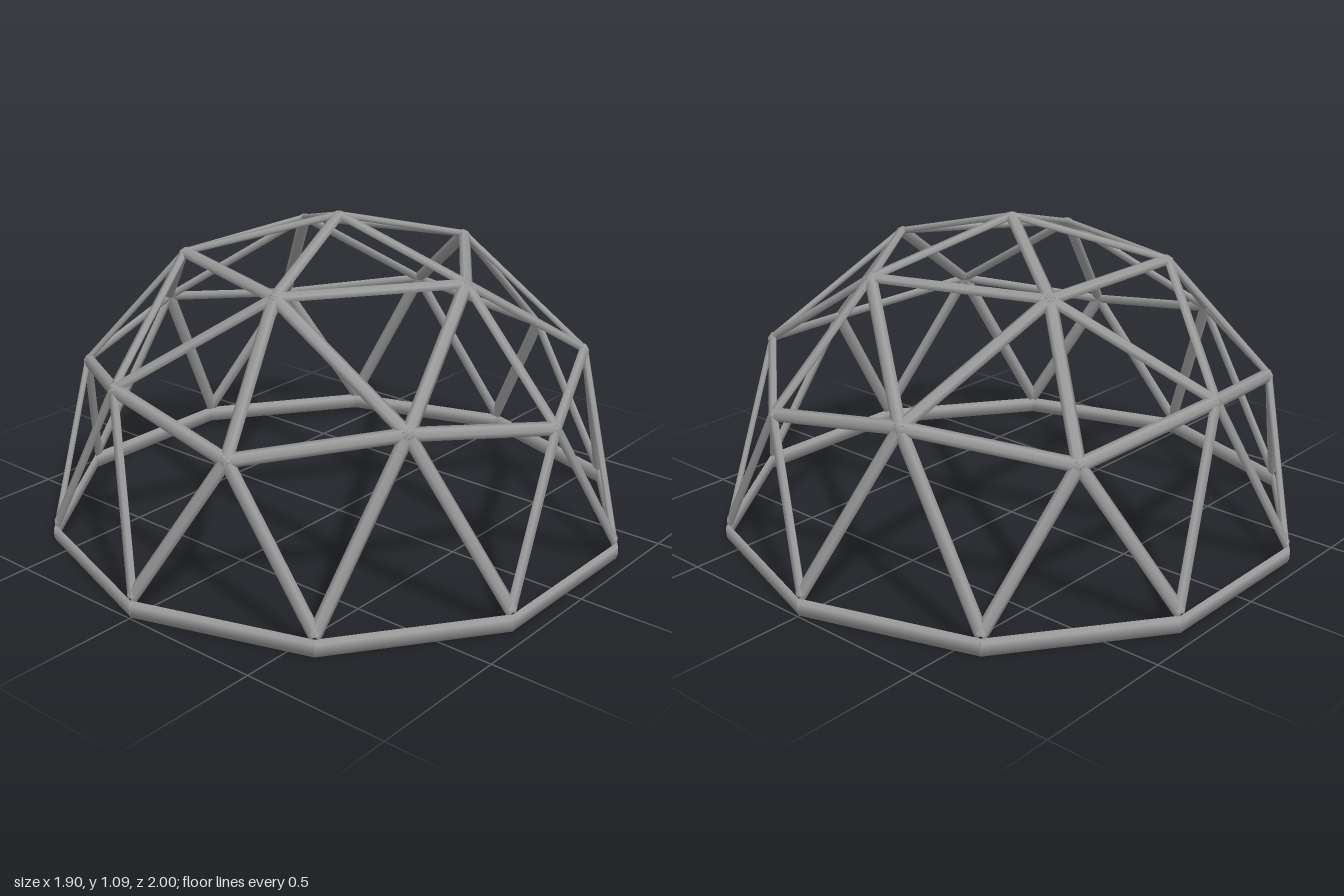
import * as THREE from 'three';

const material = new THREE.MeshStandardMaterial({ color: 0x9c9c9c });

// A node on a horizontal ring; 0 degrees is +x, 90 degrees is +z
function node(radius, y, degrees) {
  const a = THREE.MathUtils.degToRad(degrees);
  return new THREE.Vector3(radius * Math.cos(a), y, radius * Math.sin(a));
}

// Six-sided bar pressed flat, its broad side turned away from the given centre;
// only the positions are pressed, so it keeps the shading of a round tube
function bar(name, a, b, centre, halfWidth, flatness, overlap) {
  const along = b.clone().sub(a);
  const length = along.length() + overlap;
  along.normalize();
  const middle = a.clone().add(b).multiplyScalar(0.5);
  const outward = middle.clone().sub(centre);
  outward.addScaledVector(along, -outward.dot(along)).normalize();
  const across = new THREE.Vector3().crossVectors(outward, along);

  const geometry = new THREE.CylinderGeometry(halfWidth, halfWidth, length, 6);
  geometry.attributes.position.applyMatrix4(new THREE.Matrix4().makeScale(flatness, 1, 1));
  geometry.applyMatrix4(new THREE.Matrix4().makeBasis(outward, along, across).setPosition(middle));
  const mesh = new THREE.Mesh(geometry, material);
  mesh.name = name;
  return mesh;
}

export function createModel() {
  const dome = new THREE.Group();
  dome.name = 'geodesicDome';
  const domeCentre = new THREE.Vector3(0, 0.11, 0);
  const baseCentre = new THREE.Vector3(0, 0.03, 0);
  const add = (name, a, b) => dome.add(bar(name, a, b, domeCentre, 0.0225, 0.5, 0.01));

  // Nodes of one fifth of the dome, k counting round the axis
  const apex = new THREE.Vector3(0, 1.083, 0);
  const crown = (k) => node(0.522, 0.945, 72 * k);
  const shoulder = (k) => node(0.876, 0.55, 72 * k);
  const between = (k) => node(0.834, 0.632, 72 * k + 36);
  const foot = (k, offset) => node(0.984, 0.07, 72 * k + offset);

  for (let k = 0; k < 5; k++) {
    // Crown pentagon
    add('apexStrut', apex, crown(k));
    add('crownRingStrut', crown(k), crown(k + 1));
    // Upper band of triangles
    add('upperStrut', crown(k), shoulder(k));
    add('upperStrut', crown(k), between(k));
    add('upperStrut', crown(k), between(k - 1));
    // Zigzag middle ring
    add('middleRingStrut', shoulder(k), between(k));
    add('middleRingStrut', shoulder(k), between(k - 1));
    // Legs down to the base
    add('legStrut', shoulder(k), foot(k, 18));
    add('legStrut', shoulder(k), foot(k, -18));
    add('legStrut', between(k), foot(k, 18));
    add('legStrut', between(k), foot(k, 54));
  }

  // Ten-sided base ring
  for (let k = 0; k < 10; k++) {
    const a = node(0.993, 0.03, 36 * k + 18);
    const b = node(0.993, 0.03, 36 * k + 54);
    dome.add(bar('baseRail', a, b, baseCentre, 0.03, 0.27, 0.003));
  }

  return dome;
}
